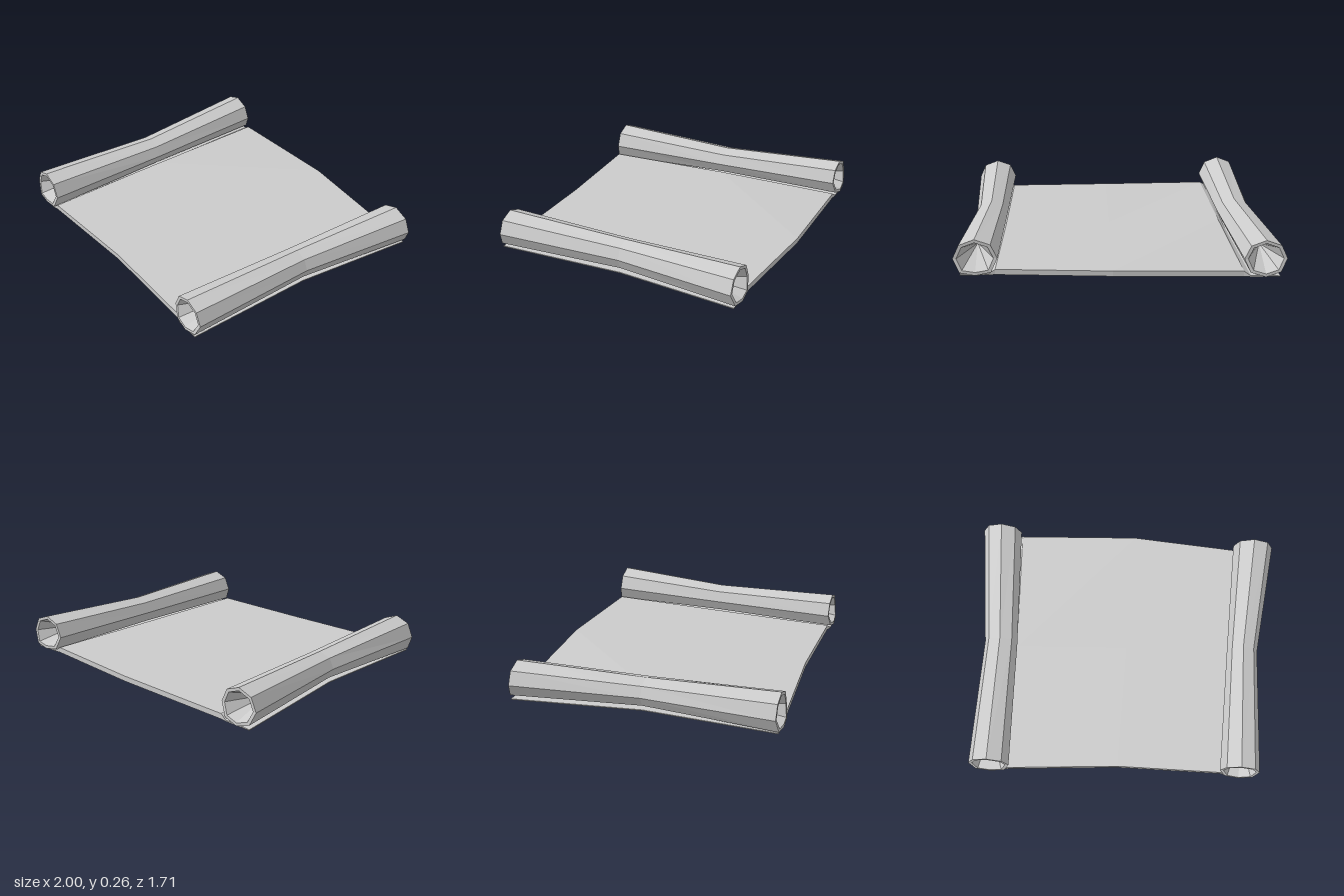
import * as THREE from 'three';

const material = new THREE.MeshStandardMaterial({ color: 0xcccccc, flatShading: true, side: THREE.DoubleSide });

// Joins a list of closed rings with quads; extra quads may cap the ends.
function loft(name, rings, caps = []) {
  const pos = [];
  const quad = (a, b, c, d) => pos.push(...a, ...b, ...c, ...a, ...c, ...d);
  for (let i = 0; i < rings.length - 1; i++) {
    const p = rings[i], q = rings[i + 1], n = p.length;
    for (let j = 0; j < n; j++) quad(p[j], p[(j + 1) % n], q[(j + 1) % n], q[j]);
  }
  caps.forEach((c) => quad(...c));
  const geometry = new THREE.BufferGeometry();
  geometry.setAttribute('position', new THREE.Float32BufferAttribute(pos, 3));
  geometry.computeVertexNormals();
  const mesh = new THREE.Mesh(geometry, material);
  mesh.name = name;
  return mesh;
}

// Eight-sided ring with a flattened bottom whose lower edge juts out by `lip`.
function octagon({ x, y, z, rx, ry, floor }, lip = 0, scale = 1) {
  return Array.from({ length: 8 }, (_, i) => {
    const a = (i * Math.PI) / 4, s = Math.sin(a);
    const low = floor + (1 - scale) * ry;
    return [x + rx * scale * Math.cos(a), Math.max(y + ry * scale * s, low), z + lip * Math.max(0, -s)];
  });
}

// Rolled edge: waisted tube with a thin rim and a tapering hollow at each end.
function roll(name, [back, mid, front]) {
  const tip = (s, dz) => Array.from({ length: 8 }, () => [s.x, s.y, s.z + dz]);
  return loft(name, [
    tip(back, 0.25), octagon(back, -0.02, 0.83), octagon(back, -0.02),
    octagon(mid),
    octagon(front, 0.02), octagon(front, 0.02, 0.83), tip(front, -0.25),
  ]);
}

// Open sheet: three cross-sections of [x, bottom y, thickness, z] columns.
function sheet(sections) {
  const rings = sections.map((cols) => [
    ...cols.map(([x, y, , z]) => [x, y, z]),
    ...cols.map(([x, y, t, z]) => [x, y + t, z]).reverse(),
  ]);
  const caps = [], n = sections[0].length;
  const first = rings[0], last = rings[rings.length - 1];
  for (let k = 0; k < n - 1; k++) {
    const ids = [k, k + 1, 2 * n - 2 - k, 2 * n - 1 - k];
    caps.push(ids.map((i) => last[i]), ids.map((i) => first[i]).reverse());
  }
  return loft('sheet', rings, caps);
}

export function createModel() {
  const group = new THREE.Group();
  group.name = 'scroll';

  group.add(roll('rightRoll', [
    { x: -0.87, y: 0.115, z: -0.825, rx: 0.13, ry: 0.117, floor: 0.004 },
    { x: -0.80, y: 0.12, z: 0, rx: 0.108, ry: 0.09, floor: 0.028 },
    { x: -0.80, y: 0.12, z: 0.835, rx: 0.13, ry: 0.125, floor: 0.022 },
  ]));
  group.add(roll('leftRoll', [
    { x: 0.867, y: 0.14, z: -0.80, rx: 0.133, ry: 0.12, floor: 0.038 },
    { x: 0.81, y: 0.138, z: -0.03, rx: 0.1, ry: 0.095, floor: 0.038 },
    { x: 0.815, y: 0.14, z: 0.79, rx: 0.127, ry: 0.115, floor: 0.035 },
  ]));

  // Columns run from under one roll, across the middle, to under the other.
  group.add(sheet([
    [[-0.96, 0, 0.006, -0.835], [-0.78, 0.003, 0.008, -0.835], [-0.74, 0.004, 0.034, -0.83],
      [0.05, 0.032, 0.034, -0.855], [0.75, 0.034, 0.034, -0.80], [0.79, 0.034, 0.006, -0.805], [0.96, 0.034, 0.006, -0.805]],
    [[-0.88, 0.024, 0.006, 0], [-0.73, 0.024, 0.008, 0], [-0.70, 0.025, 0.034, 0],
      [0.04, 0.034, 0.034, -0.03], [0.72, 0.034, 0.034, -0.03], [0.75, 0.034, 0.006, -0.03], [0.88, 0.034, 0.006, -0.03]],
    [[-0.89, 0.018, 0.006, 0.845], [-0.72, 0.018, 0.008, 0.845], [-0.68, 0.018, 0.034, 0.835],
      [0.03, 0.032, 0.034, 0.787], [0.70, 0.032, 0.034, 0.787], [0.74, 0.032, 0.006, 0.8], [0.90, 0.032, 0.006, 0.8]],
  ]));
  return group;
}
